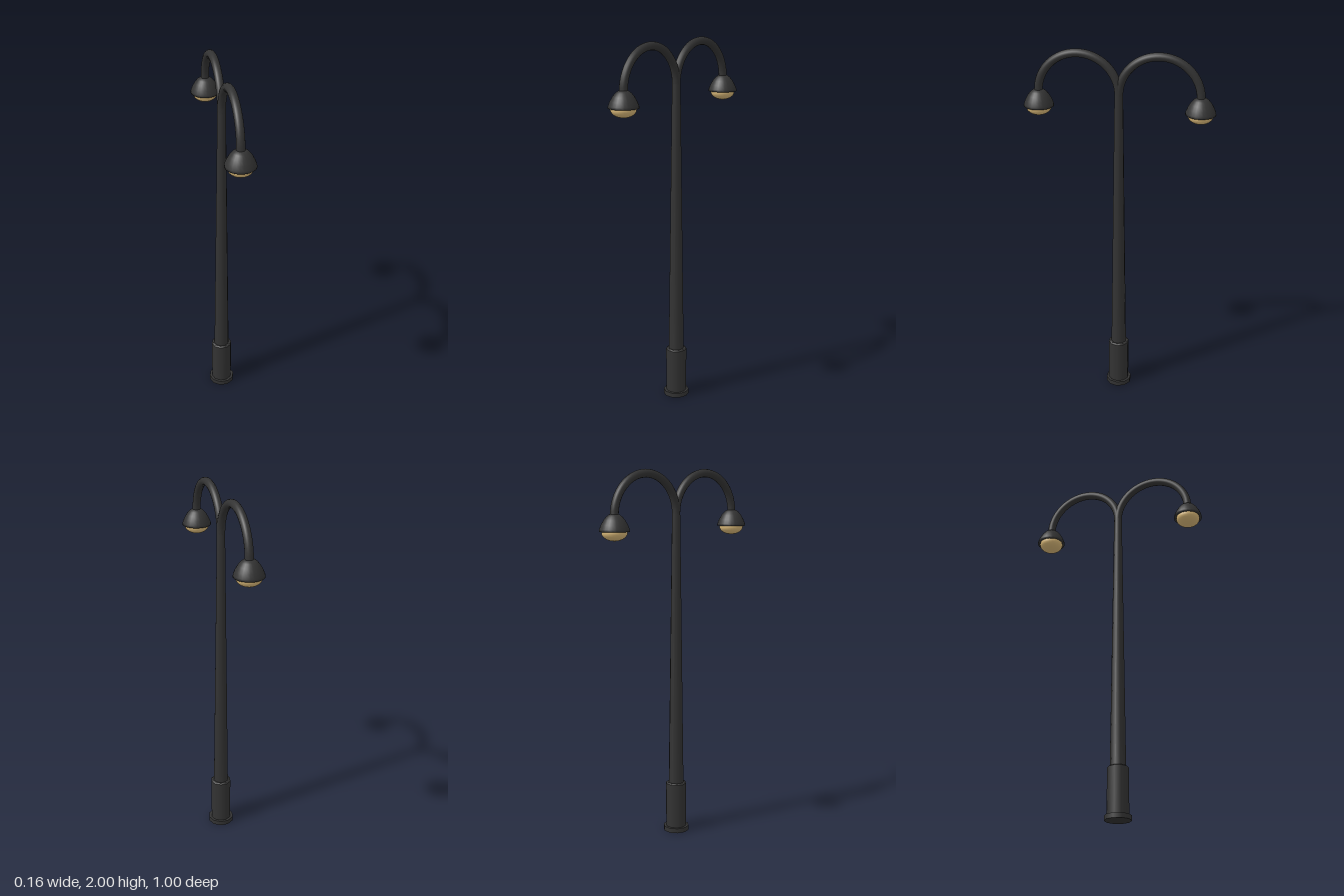
import * as THREE from 'three';

const iron = new THREE.MeshStandardMaterial({ color: 0x333333, side: THREE.DoubleSide });
const glass = new THREE.MeshStandardMaterial({ color: 0xd9b878 });

const ARM_R = 0.21;    // radius of the arm's arc
const ARM_Y = 1.768;   // height of the arc's centre
const TUBE_R = 0.022;

function add(parent, name, geometry, material) {
  const mesh = new THREE.Mesh(geometry, material);
  mesh.name = name;
  parent.add(mesh);
  return mesh;
}

// Ten-sided round section between two heights
function column(parent, name, rTop, rBottom, y0, y1) {
  const geo = new THREE.CylinderGeometry(rTop, rBottom, y1 - y0, 10, 1, false, Math.PI / 2);
  add(parent, name, geo, iron).position.y = (y0 + y1) / 2;
}

// Curved arm with a hanging lamp, reaching towards +z
function createArm(name) {
  const arm = new THREE.Group();
  arm.name = name;

  // Half-circle tube rising from the pole and coming down to the lamp
  const points = [];
  for (let i = 0; i <= 16; i++) {
    const a = Math.PI * (1 - i / 16);
    points.push(new THREE.Vector3(0, ARM_Y + ARM_R * Math.sin(a), ARM_R + ARM_R * Math.cos(a)));
  }
  const path = new THREE.CatmullRomCurve3(points);
  add(arm, 'armTube', new THREE.TubeGeometry(path, 32, TUBE_R, 12), iron);

  const lamp = new THREE.Group();
  lamp.name = 'lamp';
  lamp.position.z = ARM_R * 2;
  arm.add(lamp);

  // Open bell-shaped shade with a thin wall
  const profile = [
    [0.066, 1.692], [0.079, 1.69], [0.077, 1.702], [0.068, 1.724], [0.055, 1.747],
    [0.04, 1.765], [0.025, 1.776], [0, 1.78],
  ].map(([r, y]) => new THREE.Vector2(r, y));
  add(lamp, 'shade', new THREE.LatheGeometry(profile, 24), iron);

  // Flattened glass globe showing below the rim
  const globe = add(lamp, 'globe', new THREE.SphereGeometry(0.066, 24, 14), glass);
  globe.scale.y = 0.64;
  globe.position.y = 1.684;
  return arm;
}

export function createModel() {
  const model = new THREE.Group();
  model.name = 'streetLamp';

  // Foot, plinth and tapered pole
  column(model, 'foot', 0.071, 0.071, 0, 0.026);
  column(model, 'plinth', 0.057, 0.057, 0.026, 0.275);
  column(model, 'plinthBevel', 0.05, 0.057, 0.275, 0.28);
  column(model, 'pole', TUBE_R, 0.042, 0.28, 1.79);

  // Mirrored pair of arms, front and back
  model.add(createArm('frontArm'));
  const back = createArm('backArm');
  back.rotation.y = Math.PI;
  model.add(back);
  return model;
}
